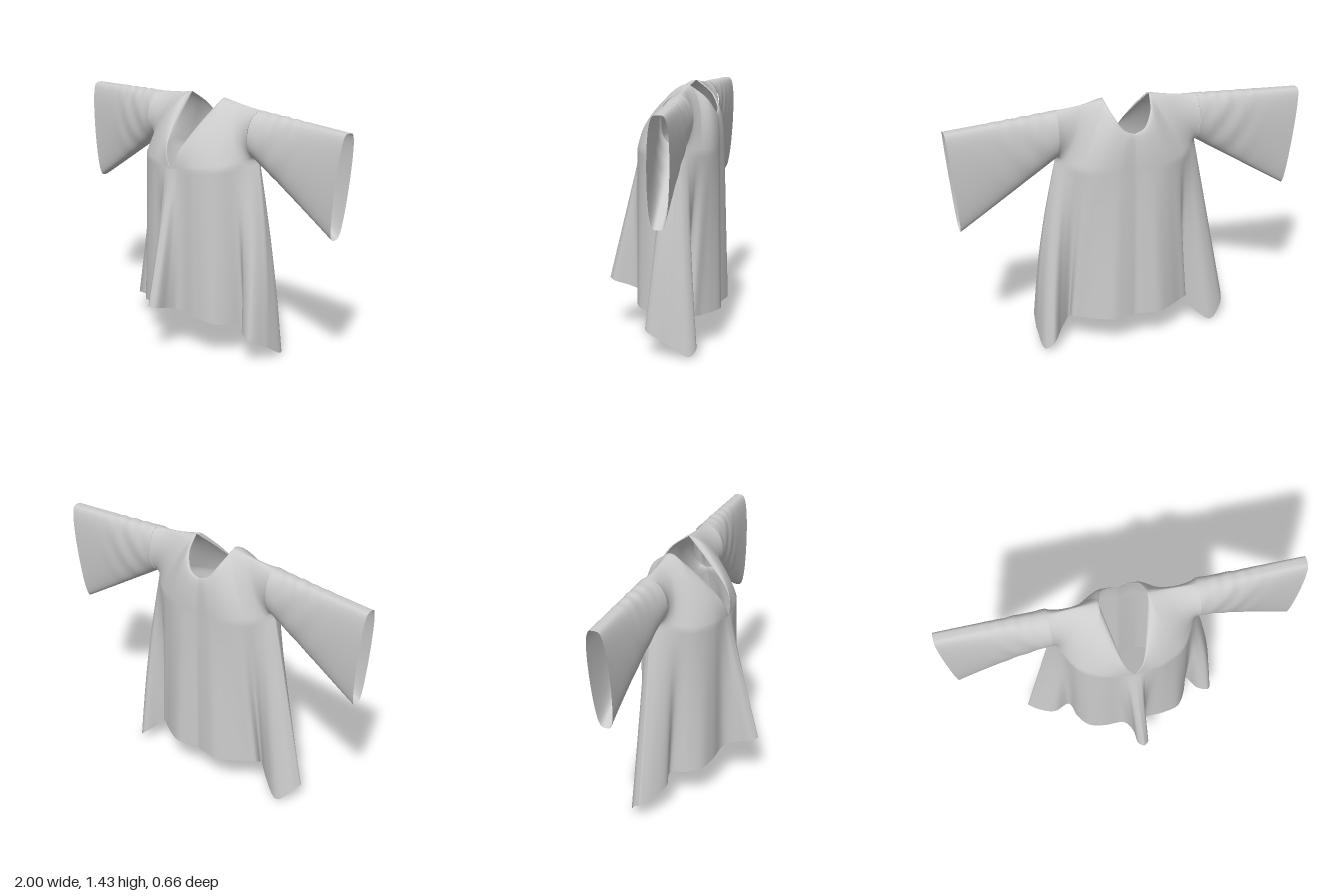
import * as THREE from 'three';
import { mergeGeometries, mergeVertices } from 'three/addons/utils/BufferGeometryUtils.js';

const cloth = new THREE.MeshStandardMaterial({ color: 0xcccccc, side: THREE.DoubleSide });
const curve = (pts) => new THREE.CatmullRomCurve3(pts.map((p) => new THREE.Vector3(...p)), false, 'centripetal');
const lerp = THREE.MathUtils.lerp;

// Surface patch from a rule f(u, v) -> Vector3
function patch(f, nu, nv, flip) {
  const pos = [], idx = [];
  for (let j = 0; j <= nv; j++)
    for (let i = 0; i <= nu; i++) pos.push(...f(i / nu, j / nv).toArray());
  for (let j = 0; j < nv; j++)
    for (let i = 0; i < nu; i++) {
      const a = j * (nu + 1) + i, b = a + 1, c = a + nu + 1, d = c + 1;
      if (flip) idx.push(a, d, b, a, c, d);
      else idx.push(a, b, d, a, d, c);
    }
  const g = new THREE.BufferGeometry();
  g.setAttribute('position', new THREE.Float32BufferAttribute(pos, 3));
  g.setIndex(idx);
  return g;
}

function weld(parts, name) {
  const g = mergeVertices(mergeGeometries(parts), 1e-4);
  g.computeVertexNormals();
  const m = new THREE.Mesh(g, cloth);
  m.name = name;
  return m;
}

// Chest line from centre to underarm, and the neckline above it
const neckPoint = [0.13, 1.428, -0.14], underarm = [0.4, 1.13, -0.14];
const shoulder = curve([neckPoint, [0.25, 1.41, -0.15], [0.4, 1.395, -0.15]]);
const front = {
  chest: curve([[0, 1.05, 0.15], [0.06, 1.06, 0.145], [0.17, 1.07, 0.13], [0.29, 1.08, 0.065], [0.365, 1.11, -0.05], underarm]),
  neck: curve([[0, 1.05, 0.15], [0.05, 1.16, 0.125], [0.092, 1.3, 0], neckPoint]),
  roundness: 0.74,
  armhole: 0.1,
};
const back = {
  chest: curve([[0, 1.05, -0.3], [0.1, 1.06, -0.308], [0.2, 1.07, -0.292], [0.305, 1.08, -0.24], [0.37, 1.11, -0.18], underarm]),
  neck: curve([[0, 1.26, -0.28], [0.055, 1.285, -0.275], [0.105, 1.36, -0.23], neckPoint]),
  roundness: 1,
  armhole: -0.08,
};

// Hem, centre to side point, with the centre fold and the side drapes
const hems = {
  frontLeft: curve([[0.02, 0.295, 0.33], [0.05, 0.285, 0.3], [0.042, 0.26, 0.21], [0.06, 0.24, 0.145], [0.18, 0.225, 0.13],
    [0.28, 0.205, 0.1], [0.335, 0.19, 0.02], [0.37, 0.18, -0.07], [0.425, 0.165, 0], [0.495, 0.14, 0.015], [0.525, 0.08, -0.1]]),
  frontRight: curve([[0.02, 0.295, 0.33], [-0.012, 0.285, 0.3], [-0.02, 0.265, 0.22], [-0.06, 0.24, 0.145], [-0.18, 0.22, 0.13],
    [-0.27, 0.205, 0.1], [-0.325, 0.195, 0.03], [-0.36, 0.19, -0.06], [-0.45, 0.165, -0.04], [-0.55, 0.125, -0.09], [-0.605, 0.1, -0.14]]),
  backLeft: curve([[0, 0.18, -0.31], [0.07, 0.18, -0.325], [0.14, 0.18, -0.33], [0.22, 0.18, -0.295], [0.29, 0.18, -0.25],
    [0.345, 0.18, -0.215], [0.345, 0.155, -0.16], [0.405, 0.1, -0.2], [0.465, 0.05, -0.26], [0.512, 0.01, -0.23], [0.525, 0.08, -0.1]]),
  backRight: curve([[0, 0.18, -0.31], [-0.07, 0.18, -0.325], [-0.14, 0.18, -0.33], [-0.22, 0.18, -0.295], [-0.29, 0.18, -0.25],
    [-0.345, 0.18, -0.215], [-0.335, 0.13, -0.15], [-0.4, 0.07, -0.19], [-0.5, 0, -0.23], [-0.58, 0.07, -0.19], [-0.605, 0.1, -0.14]]),
};

// One quarter of the garment: yoke above the chest line, skirt below it
function quarter(side, hem, sx, flip) {
  const yoke = (u, v) => {
    const c = side.chest.getPoint(u);
    const t = u < 0.6 ? side.neck.getPoint(u / 0.6) : shoulder.getPoint((u - 0.6) / 0.4);
    const s = Math.sin(Math.PI * v / 2);
    const k = lerp(s, 1 - Math.cos(Math.PI * v / 2), side.roundness);
    const swell = side.armhole * u ** 5 * Math.max(0, 4 * s * (1 - s)) ** lerp(1.3, 0.5, u ** 4);
    return new THREE.Vector3(
      sx * lerp(c.x, t.x, s), lerp(c.y, t.y, s), lerp(c.z, t.z, k) + swell);
  };
  const skirt = (u, v) => {
    const c = side.chest.getPoint(u);
    c.x *= sx;
    const p = hem.getPoint(u).lerp(c, v);
    if (sx > 0) p.x += 0.025 * Math.sin(Math.PI * v) * u ** 3;
    p.y = Math.max(0, p.y);
    return p;
  };
  return [patch(yoke, 60, 28, flip), patch(skirt, 60, 40, flip)];
}

// Wide sleeve: round at the armhole, a tall rounded slot at the slanted cuff
function sleeve(sx) {
  const f = (u, v) => {
    const a = 2 * Math.PI * u, c = Math.cos(a), s = Math.sin(a);
    const k = (1 - c) / 2; // 0 at the top, 1 at the bottom
    const ease = 1 - (1 - v) ** 1.4;
    const crumple = Math.sin(Math.PI * Math.min(1, v * 1.4)) * (1 - v);
    const top = 1.395 - 0.03 * v + 0.004 * crumple * Math.sin(v * 48);
    const bottom = 1.13 - 0.34 * v;
    const half = lerp(s > 0 ? 0.1 : 0.08, 0.06 - 0.006 * k, ease);
    const e = lerp(1, 0.5, ease);
    const mid = lerp(-0.15 + 0.01 * k, -0.168 + 0.015 * k, ease);
    const fold = 0.004 * crumple * Math.sin(26 * v + 9 * k) * s;
    return new THREE.Vector3(
      sx * (0.4 + v * (0.6 - 0.06 * k)),
      top + (bottom - top) * k,
      mid + half * Math.sign(s) * Math.abs(s) ** e + fold);
  };
  return patch(f, 96, 48, sx > 0);
}

export function createModel() {
  const group = new THREE.Group();
  group.name = 'wideSleevedTunic';
  group.add(weld([
    ...quarter(front, hems.frontLeft, 1, false),
    ...quarter(front, hems.frontRight, -1, true),
    ...quarter(back, hems.backLeft, 1, true),
    ...quarter(back, hems.backRight, -1, false),
  ], 'tunicBody'));
  group.add(weld([sleeve(1)], 'leftSleeve'), weld([sleeve(-1)], 'rightSleeve'));
  return group;
}
